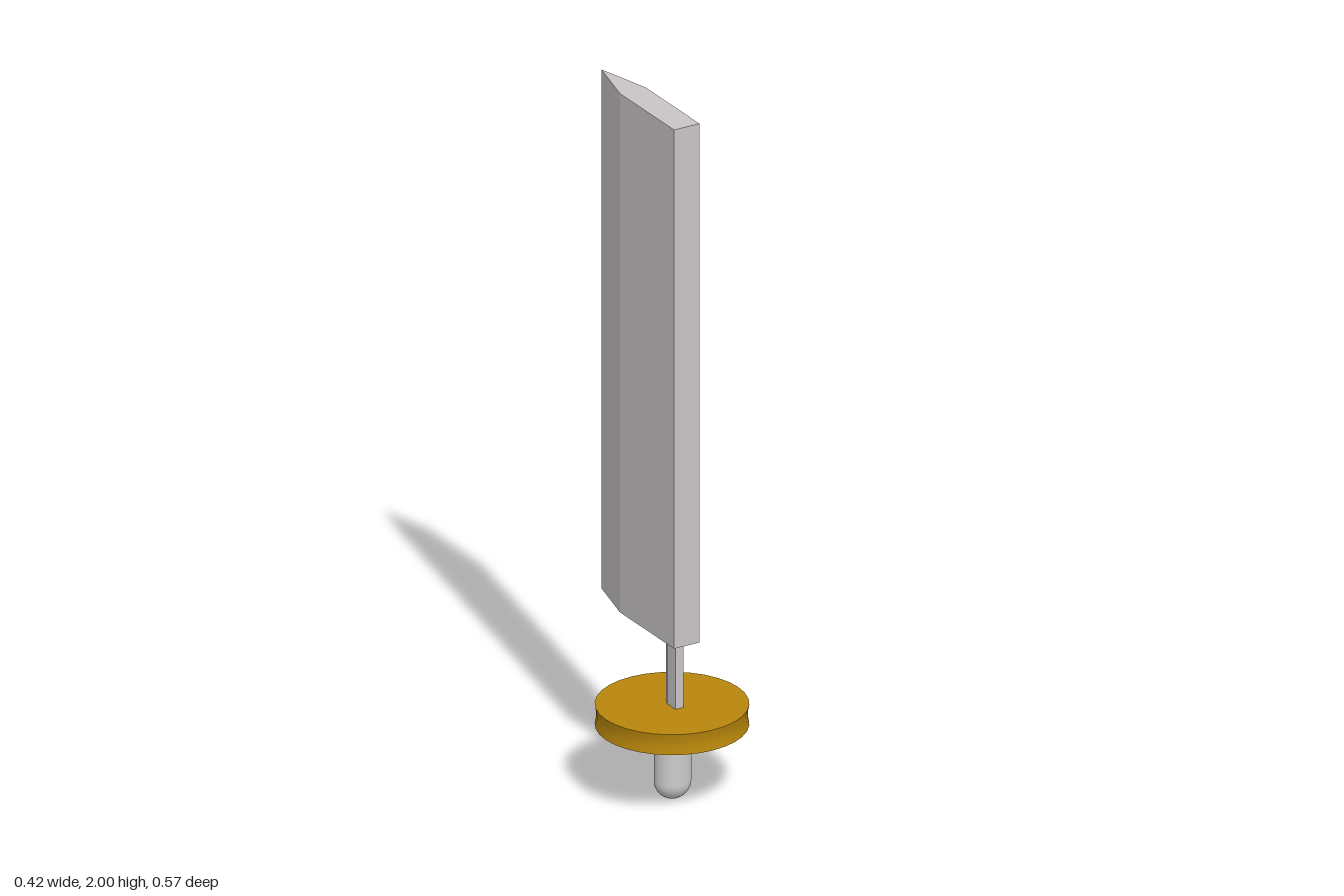
import * as THREE from 'three';

const steel = new THREE.MeshStandardMaterial({ color: 0xc9c4c5 });
const gold = new THREE.MeshStandardMaterial({ color: 0xb8860b });
const grey = new THREE.MeshStandardMaterial({ color: 0xcccccc });

// Upright bar with a flat front and a wedge-shaped cutting edge at the back
function wedgeBar(halfWidth, front, shoulder, edge, y0, y1) {
  const s = new THREE.Shape();
  s.moveTo(-halfWidth, -front);
  s.lineTo(halfWidth, -front);
  s.lineTo(halfWidth, -shoulder);
  s.lineTo(0, -edge);
  s.lineTo(-halfWidth, -shoulder);
  s.closePath();
  const g = new THREE.ExtrudeGeometry(s, { depth: y1 - y0, bevelEnabled: false });
  g.rotateX(-Math.PI / 2);
  g.translate(0, y0, 0);
  return g;
}

export function createModel() {
  const group = new THREE.Group();
  const add = (name, geometry, material) => {
    const mesh = new THREE.Mesh(geometry, material);
    mesh.name = name;
    group.add(mesh);
    return mesh;
  };

  add('blade', wedgeBar(0.04, 0.156, -0.125, -0.287, 0.474, 2), steel);
  add('tang', wedgeBar(0.013, 0.118, 0.075, 0.048, 0.24, 0.474), steel);

  // Round guard: flat faces, with a shallow groove round the rim
  const r = 0.208, bottom = 0.215, top = 0.275;
  const guard = new THREE.Group();
  guard.name = 'guard';
  guard.position.z = 0.079;
  const rim = new THREE.Mesh(new THREE.LatheGeometry(
    [[r, bottom], [r - 0.004, 0.235], [r - 0.004, 0.255], [r, top]]
      .map(([x, y]) => new THREE.Vector2(x, y)), 32), gold);
  rim.name = 'guardRim';
  guard.add(rim);
  for (const [name, y, tilt] of [['guardTop', top, -1], ['guardBottom', bottom, 1]]) {
    const face = new THREE.Mesh(new THREE.CircleGeometry(r, 32), gold);
    face.name = name;
    face.rotation.x = tilt * Math.PI / 2;
    face.position.y = y;
    guard.add(face);
  }
  group.add(guard);

  // Rounded grip, slightly flattened front to back
  const grip = add('grip', new THREE.CapsuleGeometry(0.052, 0.121, 10, 32), grey);
  grip.scale.z = 0.9;
  grip.position.set(0, 0.1125, 0.082);

  return group;
}
